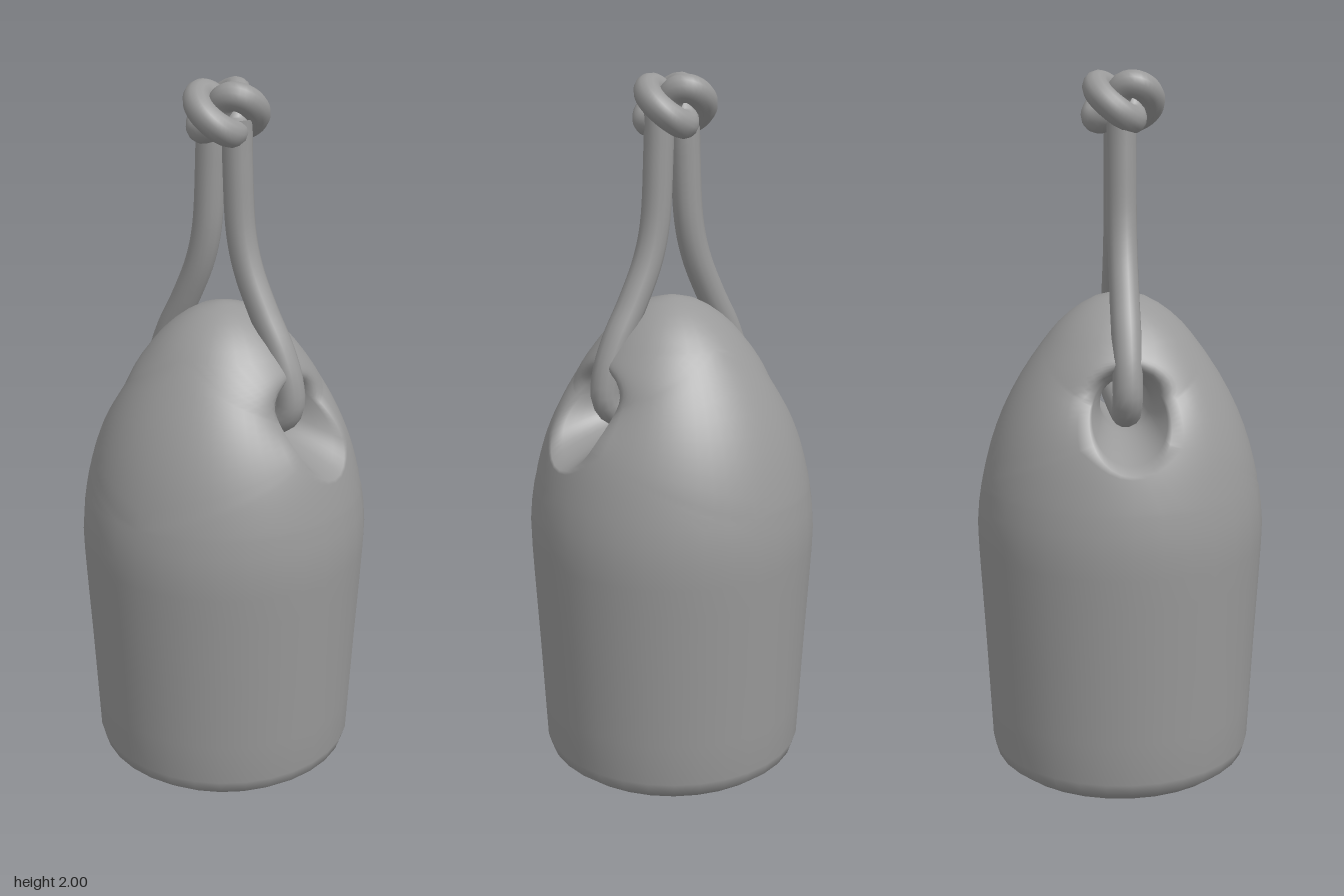
import * as THREE from 'three';
import { mergeVertices, mergeGeometries } from 'three/addons/utils/BufferGeometryUtils.js';

const SIDES = 32;
const BAND = [0.85, 1.28]; // heights between which the cross hole is cut
const V2 = (x, y) => new THREE.Vector2(x, y);

// Body profile (radius, height) above the rounded base
const curve = new THREE.SplineCurve([
  [0.378, 0.08], [0.394, 0.4], [0.41, 0.7], [0.406, 0.8], [0.388, 0.9], [0.36, 1.0],
  [0.318, 1.1], [0.26, 1.2], [0.185, 1.3], [0.13, 1.35], [0.07, 1.385], [0, 1.4],
].map(([r, y]) => V2(r, y))).getPoints(165);

function radiusAt(y) {
  let i = 1;
  while (i < curve.length - 1 && curve[i].y < y) i++;
  const a = curve[i - 1], b = curve[i];
  return Math.max(0, a.x + (b.x - a.x) * (y - a.y) / (b.y - a.y));
}

const onBody = (theta, y) => {
  const r = radiusAt(y);
  return new THREE.Vector3(r * Math.sin(theta), y, r * Math.cos(theta));
};

// Half of the holed band: rows run from the band's border to the rim, then down the flare to mid-hole
function holedHalf() {
  const border = [];
  const half = SIDES / 2, rise = 8, [y0, y1] = BAND;
  for (let k = 0; k < half; k++) border.push([-Math.PI / 2 + Math.PI * k / half, y0]);
  for (let k = 0; k < rise; k++) border.push([Math.PI / 2, y0 + (y1 - y0) * k / rise]);
  for (let k = 0; k < half; k++) border.push([Math.PI / 2 - Math.PI * k / half, y1]);
  for (let k = 0; k < rise; k++) border.push([-Math.PI / 2, y1 - (y1 - y0) * k / rise]);

  const skinRows = 12, flareRows = 6, rows = skinRows + flareRows + 2, cols = border.length;
  const grid = border.map(([theta, y]) => {
    const a = Math.atan2(y - 1.08, theta * 0.35);
    const rimY = 1.08 + 0.125 * Math.sin(a);
    const rimTheta = Math.asin(0.11 * Math.cos(a) / radiusAt(rimY));
    // the upper rim sinks inwards to make room for the rope
    const dent = 0.055 * THREE.MathUtils.smoothstep(Math.sin(a), -0.4, 1);
    const column = [];
    for (let i = 0; i <= skinRows; i++) {
      const t = i / skinRows;
      const p = onBody(theta + (rimTheta - theta) * t, y + (rimY - y) * t);
      p.z -= dent * t ** 5;
      column.push(p);
    }
    const rim = column[skinRows];
    const throat = new THREE.Vector3(0.07 * Math.cos(a), 1.11 + 0.07 * Math.sin(a), 0.15);
    for (let i = 1; i <= flareRows; i++) {
      const t = i / flareRows, p = rim.clone().lerp(throat, t);
      const ease = 1 - (1 - t) ** 1.4;
      p.x = rim.x + (throat.x - rim.x) * ease;
      p.y = rim.y + (throat.y - rim.y) * ease;
      column.push(p);
    }
    column.push(throat.clone().setZ(0.07), throat.clone().setZ(0));
    return column;
  });

  const pos = [], index = [];
  for (let i = 0; i <= rows; i++) {
    for (let j = 0; j < cols; j++) {
      pos.push(...grid[j][i].toArray());
      if (i === rows) continue;
      const a = i * cols + j, b = i * cols + (j + 1) % cols;
      index.push(a, b, a + cols, b, b + cols, a + cols);
    }
  }
  const g = new THREE.BufferGeometry();
  g.setAttribute('position', new THREE.Float32BufferAttribute(pos, 3));
  g.setIndex(index);
  return g;
}

function bodyGeometry() {
  const ring = (y) => V2(radiusAt(y), y);
  const base = [[0, 0], [0.2, 0], [0.28, 0.006], [0.335, 0.02], [0.367, 0.045], [0.378, 0.08]]
    .map(([r, y]) => V2(r, y));
  const lower = [...base, ...[0.2, 0.4, 0.6, 0.68, 0.74, 0.8, BAND[0]].map(ring)];
  const upper = [BAND[1], 1.31, 1.34, 1.365, 1.385, 1.395, 1.4].map(ring);
  const front = holedHalf();
  const parts = [
    new THREE.LatheGeometry(lower, SIDES),
    new THREE.LatheGeometry(upper, SIDES),
    front,
    front.clone().rotateY(Math.PI),
  ];
  for (const p of parts) {
    p.deleteAttribute('normal');
    p.deleteAttribute('uv');
  }
  const g = mergeVertices(mergeGeometries(parts), 1e-4);
  g.computeVertexNormals();
  return g;
}

// Closed three-lobed knot, seen as a trefoil from above
class KnotCurve extends THREE.Curve {
  getPoint(u, target = new THREE.Vector3()) {
    const t = u * Math.PI * 2;
    const r = 0.0285 * (2 + Math.cos(3 * t));
    return target.set(-r * Math.cos(2 * t), 1.915 - 0.047 * Math.sin(3 * t), r * Math.sin(2 * t));
  }
}

export function createModel() {
  const group = new THREE.Group();
  const material = new THREE.MeshStandardMaterial({ color: 0x999999 });
  const add = (name, geometry) => {
    const mesh = new THREE.Mesh(geometry, material);
    mesh.name = name;
    group.add(mesh);
  };

  add('body', bodyGeometry());

  // Rope: one side from the knot down to the hole, mirrored up the other side
  const side = [[0.042, 1.9], [0.045, 1.78], [0.057, 1.6], [0.082, 1.5], [0.132, 1.39],
    [0.186, 1.29], [0.218, 1.2], [0.221, 1.13], [0.185, 1.09], [0.1, 1.083]];
  const path = [...side, ...side.map(([z, y]) => [-z, y]).reverse()]
    .map(([z, y]) => new THREE.Vector3(0, y, z));
  add('ropeLoop', new THREE.TubeGeometry(new THREE.CatmullRomCurve3(path), 90, 0.041, 14));

  add('knot', new THREE.TubeGeometry(new KnotCurve(), 120, 0.038, 14, true));
  return group;
}
